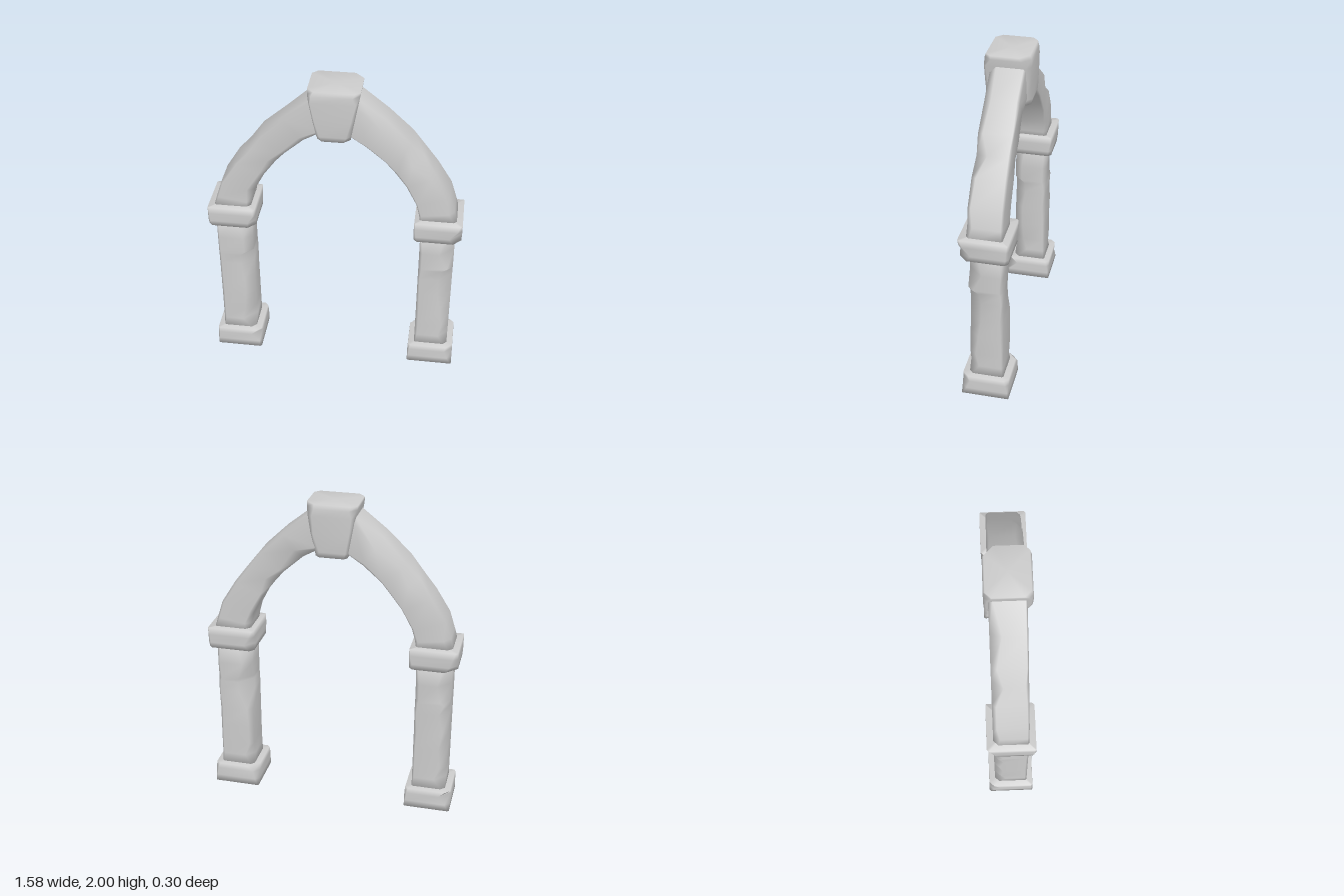
import * as THREE from 'three';

const material = new THREE.MeshStandardMaterial({ color: 0xcccccc });

// Small seeded generator for the chipped edges
let seed = 11;
const rand = () => (seed = (seed * 16807) % 2147483647) / 2147483647;

// Corner order: +x+z, -x+z, -x-z, +x-z. Two opposite corners are worn hardest.
const CORNERS = [[1, 1], [-1, 1], [-1, -1], [1, -1]];
const WORN = [1, 0.2, 1, 0.25];
const EVEN = [0.6, 0.45, 0.6, 0.8];

// Lofts a stone through rectangular rings whose corners are cut by varying amounts.
// ring: { x, y, ux, uy (half width vector), d (half depth), wear }
function stone(name, rings, weights = WORN, z = -0.0025) {
  const pos = [], index = [], n = 8;
  for (const r of rings) {
    const half = Math.hypot(r.ux, r.uy);
    CORNERS.forEach(([su, sw], k) => {
      const cut = 0.004 + r.wear * weights[k] * (0.25 + 0.75 * rand());
      const along = [half - cut, r.d], across = [half, r.d - cut];
      const pair = su === sw ? [across, along] : [along, across];
      for (const [a, b] of pair) {
        const s = (su * a) / half;
        pos.push(r.x + r.ux * s, r.y + r.uy * s, z + sw * b);
      }
    });
  }
  for (let i = 0; i < rings.length - 1; i++) {
    for (let j = 0; j < n; j++) {
      const a = i * n + j, b = i * n + (j + 1) % n;
      index.push(a, a + n, b, b, a + n, b + n);
    }
  }
  // End caps
  const first = rings[0], last = rings[rings.length - 1];
  const c0 = pos.length / 3, c1 = c0 + 1, top = (rings.length - 1) * n;
  pos.push(first.x, first.y, z, last.x, last.y, z);
  for (let j = 0; j < n; j++) {
    const k = (j + 1) % n;
    index.push(c0, j, k, c1, top + k, top + j);
  }
  const geometry = new THREE.BufferGeometry();
  geometry.setAttribute('position', new THREE.Float32BufferAttribute(pos, 3));
  geometry.setIndex(index);
  geometry.computeVertexNormals();
  const mesh = new THREE.Mesh(geometry, material);
  mesh.name = name;
  return mesh;
}

// Upright stone from [height, half width, half depth, wear] rows
const upright = (name, x, rows, weights, z) =>
  stone(name, rows.map(([y, w, d, wear]) => ({ x, y, ux: w, uy: 0, d, wear })), weights, z);

// Arch rib rings: outer x, y, inner x, y, wear
const RIB = [
  [0.76, 1.11, 0.53, 1.11, 0.02],
  [0.735, 1.2, 0.52, 1.17, 0.06],
  [0.7, 1.31, 0.5, 1.25, 0.05],
  [0.61, 1.455, 0.435, 1.375, 0.04],
  [0.53, 1.56, 0.365, 1.465, 0.075],
  [0.45, 1.66, 0.305, 1.54, 0.035],
  [0.305, 1.8, 0.19, 1.635, 0.07],
  [0.14, 1.93, 0.08, 1.71, 0.04],
  [0.06, 1.97, 0.03, 1.74, 0.04],
];

export function createModel() {
  const model = new THREE.Group();
  model.name = 'stoneArch';

  for (const side of [1, -1]) {
    const label = side > 0 ? 'left' : 'right';
    const x = side * 0.642;

    // Plinth, chipped towards its top
    model.add(upright(label + 'Base', x, [
      [0, 0.148, 0.148, 0.008], [0.045, 0.148, 0.148, 0.03],
      [0.1, 0.148, 0.148, 0.08], [0.135, 0.145, 0.145, 0.1],
    ]));

    // Weathered shaft
    const shaft = [0.11, 0.2, 0.29, 0.42, 0.55, 0.68, 0.75, 0.77, 0.88, 1.03]
      .map((y, i) => [y, 0.108, 0.108, i === 0 ? 0.01 : 0.085]);
    model.add(upright(label + 'Pillar', x, shaft));

    // Capital, chipped towards its underside
    model.add(upright(label + 'Capital', x, [
      [1.005, 0.146, 0.147, 0.09], [1.04, 0.148, 0.149, 0.075],
      [1.095, 0.148, 0.149, 0.03], [1.14, 0.147, 0.148, 0.012],
    ]));

    // Curved rib; the half width vector always points towards +x
    model.add(stone(label + 'ArchRib', RIB.map(([ox, oy, ix, iy, wear]) => ({
      x: side * (ox + ix) / 2, y: (oy + iy) / 2,
      ux: (ox - ix) / 2, uy: side * (oy - iy) / 2,
      d: 0.108, wear,
    }))));
  }

  // Tapered keystone
  model.add(upright('keystone', -0.002, [
    [1.675, 0.098, 0.13, 0.07], [1.71, 0.104, 0.138, 0.05],
    [1.82, 0.124, 0.139, 0.03], [1.93, 0.144, 0.139, 0.04],
    [1.975, 0.152, 0.138, 0.065], [2, 0.155, 0.128, 0.085],
  ], EVEN, 0.001));

  return model;
}
